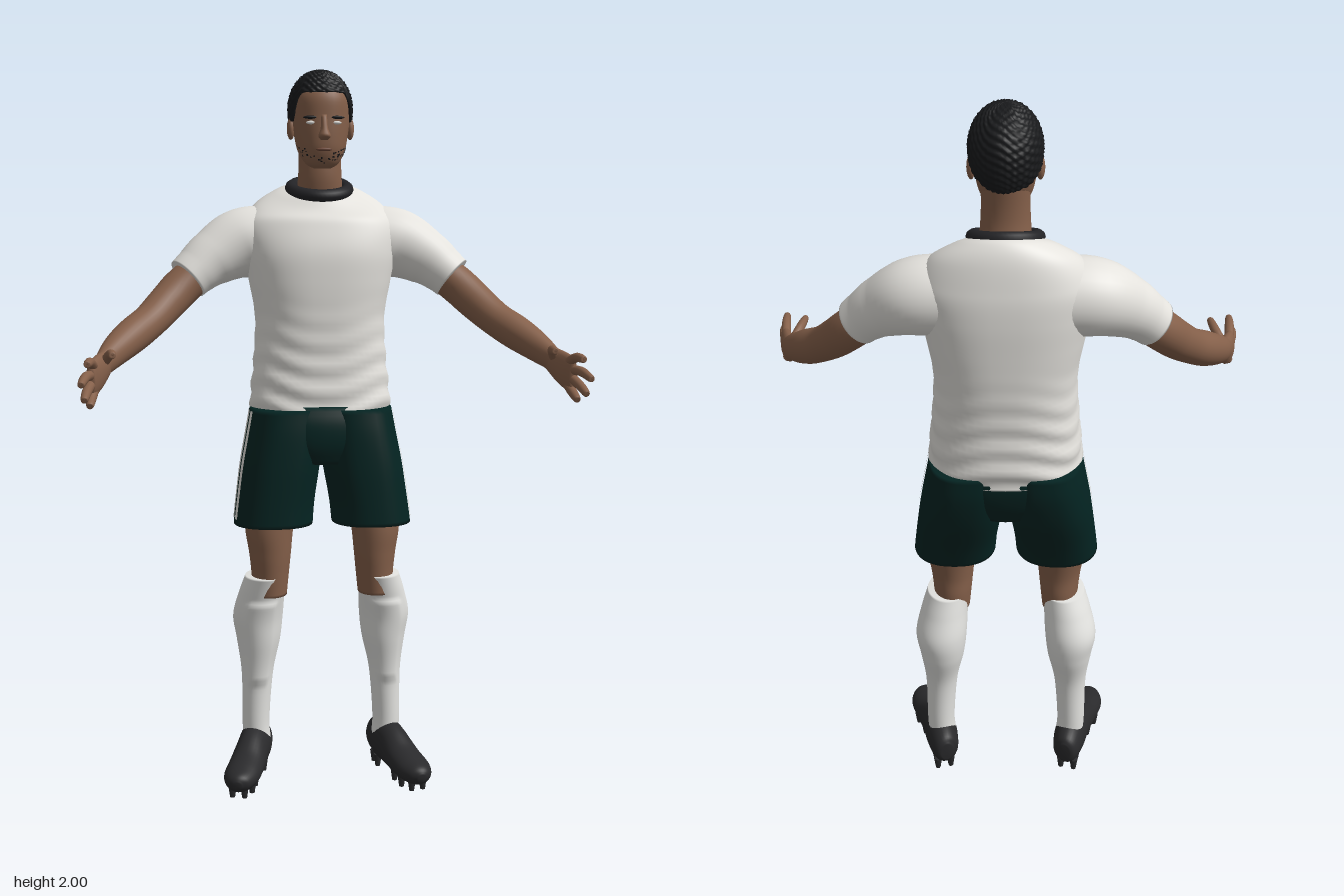
import * as THREE from 'three';
import { mergeGeometries } from 'three/addons/utils/BufferGeometryUtils.js';

const TAU = Math.PI * 2;
const { smoothstep, mapLinear, lerp } = THREE.MathUtils;
const paint = (name, color) => Object.assign(new THREE.MeshStandardMaterial({ color }), { name });

// Lofted surface (u around, v along). Sections are [x, y, z, halfWidth, halfDepth, squareness].
function surface(sections, { upright = false, shape } = {}) {
  const spine = new THREE.CatmullRomCurve3(sections.map(s => new THREE.Vector3(s[0], s[1], s[2])), false, 'catmullrom', 0.5);
  const sizes = new THREE.CatmullRomCurve3(sections.map(s => new THREE.Vector3(s[3], s[4], s[5] ?? 2)), false, 'catmullrom', 0.5);
  return (u, v, lift = 0) => {
    const p = spine.getPoint(v), r = sizes.getPoint(v);
    const side = new THREE.Vector3(1, 0, 0), normal = new THREE.Vector3(0, 0, -1);
    if (!upright) {
      const t = spine.getTangent(v);
      side.set(0, 1, 0).cross(t).normalize();
      normal.copy(t).cross(side);
    }
    const c = Math.cos(u * TAU), s = Math.sin(u * TAU), e = 2 / r.z;
    p.addScaledVector(side, Math.sign(c) * Math.abs(c) ** e * (Math.max(r.x, 0.001) + lift));
    p.addScaledVector(normal, Math.sign(s) * Math.abs(s) ** e * (Math.max(r.y, 0.001) + lift));
    if (shape) shape(p, u, v);
    return p;
  };
}

// Closed tube of quads over a surface, with optional end caps
function skin(fn, nu = 32, nv = 32, caps = true) {
  const pos = [], idx = [];
  for (let j = 0; j <= nv; j++) for (let i = 0; i < nu; i++) pos.push(...fn(i / nu, j / nv));
  for (let j = 0; j < nv; j++) for (let i = 0; i < nu; i++) {
    const a = j * nu + i, b = j * nu + (i + 1) % nu;
    idx.push(a, b, a + nu, b, b + nu, a + nu);
  }
  if (caps) for (const j of [0, nv]) {
    const mid = new THREE.Vector3(), center = pos.length / 3;
    for (let i = 0; i < nu; i++) mid.addScaledVector(fn(i / nu, j / nv), 1 / nu);
    pos.push(...mid);
    for (let i = 0; i < nu; i++) {
      const a = j * nu + i, b = j * nu + (i + 1) % nu;
      idx.push(center, j ? a : b, j ? b : a);
    }
  }
  return build(pos, idx);
}

// Thin piece lying just above part of a surface
function patch(fn, u0, u1, v0, v1, lift, nu = 1, nv = 1) {
  const pos = [], idx = [];
  for (let j = 0; j <= nv; j++) for (let i = 0; i <= nu; i++)
    pos.push(...fn(lerp(u0, u1, i / nu), lerp(v0, v1, j / nv), lift));
  for (let j = 0; j < nv; j++) for (let i = 0; i < nu; i++) {
    const a = j * (nu + 1) + i, b = a + nu + 1;
    idx.push(a, a + 1, b, a + 1, b + 1, b);
  }
  return build(pos, idx);
}

function build(pos, idx) {
  const g = new THREE.BufferGeometry();
  g.setAttribute('position', new THREE.Float32BufferAttribute(pos, 3));
  g.setIndex(idx);
  g.computeVertexNormals();
  return g;
}

function mirrored(geo) {
  const g = geo.clone().scale(-1, 1, 1), a = g.index.array;
  for (let i = 0; i < a.length; i += 3) [a[i], a[i + 1]] = [a[i + 1], a[i]];
  return g;
}

const blob = (x, y, z, rx, ry, rz) => new THREE.SphereGeometry(1, 20, 12).scale(rx, ry, rz).translate(x, y, z);

export function createModel() {
  const model = new THREE.Group();
  model.name = 'footballPlayer';
  const skinTone = paint('skin', 0x85604a), lipTone = paint('lips', 0x6c4738), hairTone = paint('hair', 0x18191b);
  const shirtWhite = paint('shirtWhite', 0xe4e2dd), sockWhite = paint('sockWhite', 0xe3e3e0);
  const shortsGreen = paint('shortsGreen', 0x042422), bootBlack = paint('bootBlack', 0x2a2a2c);
  const trimBlack = paint('trimBlack', 0x232326), eyeWhite = paint('eyeWhite', 0xd8d6d2);
  const add = (name, geo, mat) => {
    const m = new THREE.Mesh(geo, mat);
    m.name = name;
    model.add(m);
  };
  const pair = (name, geo, mat) => {
    add('left' + name, geo, mat);
    add('right' + name, mirrored(geo), mat);
  };

  // Shirt body, with soft folds near the waist and a neckline lower at the front
  add('shirtBody', skin(surface([
    [0, 1.04, -0.17, 0.188, 0.145, 2.4], [0, 1.08, -0.172, 0.198, 0.15, 2.4], [0, 1.2, -0.175, 0.187, 0.146, 2.4],
    [0, 1.32, -0.178, 0.182, 0.149, 2.4], [0, 1.42, -0.179, 0.198, 0.151, 2.5], [0, 1.5, -0.182, 0.213, 0.149, 2.5],
    [0, 1.57, -0.19, 0.218, 0.136, 2.4], [0, 1.625, -0.195, 0.185, 0.116, 2.2], [0, 1.662, -0.193, 0.125, 0.093], [0, 1.68, -0.19, 0.075, 0.072],
  ], {
    upright: true,
    shape: (p, u) => {
      const fold = 0.004 * (1 - smoothstep(p.y, 1.12, 1.4)) * Math.sin(p.y * 95 + 2 * Math.sin(u * TAU * 3));
      p.x *= 1 + fold * 4;
      p.z += fold * Math.sign(p.z + 0.175) * Math.min(1, Math.abs(p.z + 0.175) * 10);
      p.y -= (p.z + 0.19) * 0.35 * smoothstep(p.y, 1.58, 1.67);
    },
  }), 56, 72), shirtWhite);

  // Sleeves
  pair('Sleeve', skin(surface([
    [0.12, 1.53, -0.2, 0.1, 0.1], [0.22, 1.523, -0.193, 0.097, 0.097], [0.3, 1.484, -0.165, 0.077, 0.078],
    [0.345, 1.45, -0.146, 0.067, 0.066], [0.37, 1.428, -0.136, 0.064, 0.062],
  ]), 32, 28), shirtWhite);

  // Collar ring, tilted forward
  const ring = [];
  for (let i = 0; i < 16; i++) {
    const a = i / 16 * TAU;
    ring.push(new THREE.Vector3(0.078 * Math.cos(a), 1.675 - 0.022 * Math.sin(a), -0.183 + 0.072 * Math.sin(a)));
  }
  add('collar', new THREE.TubeGeometry(new THREE.CatmullRomCurve3(ring, true), 48, 0.018, 10, true), trimBlack);

  // Shorts: waist core and two legs with side stripes
  add('shortsWaist', skin(surface([
    [0, 0.92, -0.15, 0.09, 0.125, 2.6], [0, 0.97, -0.155, 0.14, 0.146, 2.6], [0, 1.03, -0.162, 0.17, 0.153, 2.6], [0, 1.08, -0.168, 0.17, 0.145, 2.6],
  ], { upright: true }), 40, 12), shortsGreen);
  const shortsLeg = surface([
    [0.139, 0.745, -0.114, 0.111, 0.114, 2.3], [0.132, 0.81, -0.126, 0.11, 0.126, 2.4], [0.117, 0.91, -0.146, 0.111, 0.146, 2.6],
    [0.104, 1.0, -0.159, 0.107, 0.156, 2.6], [0.095, 1.07, -0.164, 0.103, 0.154, 2.6],
  ], { upright: true });
  pair('ShortsLeg', skin(shortsLeg, 40, 24), shortsGreen);
  for (const [u0, u1] of [[-0.062, -0.036], [-0.022, 0]])
    pair('ShortsStripe', patch(shortsLeg, u0, u1, 0.07, 0.97, 0.003, 3, 24), shirtWhite);

  // Knees and lower thighs
  pair('Knee', skin(surface([
    [0.152, 0.54, -0.105, 0.05, 0.062], [0.149, 0.6, -0.106, 0.053, 0.068], [0.149, 0.66, -0.104, 0.059, 0.071],
    [0.15, 0.74, -0.11, 0.069, 0.08], [0.135, 0.85, -0.13, 0.078, 0.088],
  ], { upright: true })), skinTone);

  // Socks with a raised shin guard
  pair('Sock', skin(surface([
    [0.186, 0.09, -0.14, 0.04, 0.045], [0.19, 0.16, -0.14, 0.039, 0.045], [0.185, 0.3, -0.14, 0.045, 0.05],
    [0.181, 0.4, -0.145, 0.062, 0.07], [0.182, 0.47, -0.143, 0.071, 0.078], [0.172, 0.54, -0.124, 0.065, 0.076], [0.161, 0.595, -0.107, 0.058, 0.073],
  ], {
    upright: true,
    shape: (p, u) => {
      const across = 1 - smoothstep(Math.abs(u - 0.75), 0.1, 0.13);
      p.z += 0.008 * across * smoothstep(p.y, 0.27, 0.285) * (1 - smoothstep(p.y, 0.51, 0.53));
    },
  }), 40, 60), sockWhite);

  // Boots with flat soles and studs
  pair('Boot', skin(surface([
    [0.17, 0.082, -0.222, 0.018, 0.03], [0.176, 0.083, -0.205, 0.037, 0.05], [0.189, 0.086, -0.15, 0.046, 0.064],
    [0.204, 0.082, -0.09, 0.046, 0.06], [0.224, 0.066, -0.02, 0.05, 0.043], [0.243, 0.056, 0.04, 0.049, 0.035],
    [0.254, 0.052, 0.08, 0.034, 0.027], [0.258, 0.049, 0.096, 0.012, 0.012],
  ], { shape: p => { p.y = Math.max(p.y, 0.026); } }), 32, 40), bootBlack);
  const studs = [];
  for (const [x, z] of [[0.163, -0.185], [0.2, -0.195], [0.168, -0.145], [0.208, -0.155], [0.2, -0.03], [0.245, -0.045], [0.212, 0.02], [0.268, 0.005], [0.235, 0.055], [0.268, 0.045]])
    studs.push(new THREE.CylinderGeometry(0.012, 0.007, 0.035, 8).translate(x, 0.0175, z));
  pair('BootStuds', mergeGeometries(studs), bootBlack);

  // Bare arms
  pair('Arm', skin(surface([
    [0.3, 1.475, -0.16, 0.05, 0.05], [0.38, 1.412, -0.13, 0.054, 0.053], [0.43, 1.362, -0.09, 0.051, 0.051],
    [0.475, 1.318, -0.04, 0.048, 0.047], [0.52, 1.284, 0.012, 0.047, 0.047], [0.56, 1.252, 0.07, 0.039, 0.041],
    [0.588, 1.225, 0.125, 0.026, 0.033], [0.597, 1.215, 0.15, 0.02, 0.03],
  ]), 28, 42), skinTone);

  // Hands with spread fingers
  const hand = [skin(surface([
    [0.586, 1.227, 0.115, 0.022, 0.03], [0.604, 1.205, 0.17, 0.021, 0.043], [0.616, 1.191, 0.212, 0.017, 0.046], [0.621, 1.188, 0.234, 0.009, 0.036],
  ]), 20, 14)];
  const fingers = [
    [[0.615, 1.22, 0.205], [0.621, 1.236, 0.26], [0.625, 1.235, 0.305]],
    [[0.62, 1.2, 0.215], [0.632, 1.2, 0.27], [0.64, 1.188, 0.325]],
    [[0.62, 1.18, 0.215], [0.63, 1.163, 0.265], [0.634, 1.148, 0.307]],
    [[0.615, 1.16, 0.2], [0.621, 1.14, 0.235], [0.623, 1.128, 0.265]],
    [[0.594, 1.222, 0.145], [0.573, 1.25, 0.195], [0.566, 1.252, 0.25]],
  ];
  for (const f of fingers) {
    const tip = f[2].map((c, k) => c + (c - f[1][k]) * 0.12);
    hand.push(skin(surface([[...f[0], 0.013, 0.013], [...f[1], 0.0125, 0.0125], [...f[2], 0.0095, 0.0095], [...tip, 0.004, 0.004]]), 12, 14));
  }
  pair('Hand', mergeGeometries(hand), skinTone);

  // Neck and head
  add('neck', skin(surface([
    [0, 1.6, -0.19, 0.07, 0.06], [0, 1.69, -0.168, 0.062, 0.056], [0, 1.75, -0.165, 0.059, 0.054], [0, 1.82, -0.165, 0.06, 0.06],
  ], { upright: true }), 28, 12), skinTone);
  const head = surface([
    [0, 1.727, -0.11, 0.022, 0.022], [0, 1.74, -0.113, 0.044, 0.042, 2.2], [0, 1.772, -0.13, 0.063, 0.072, 2.2],
    [0, 1.81, -0.14, 0.072, 0.085, 2.2], [0, 1.86, -0.15, 0.079, 0.094, 2.2], [0, 1.915, -0.153, 0.079, 0.094, 2.2],
    [0, 1.95, -0.16, 0.066, 0.08], [0, 1.972, -0.16, 0.035, 0.04],
  ], { upright: true });
  add('head', skin(head, 40, 40), skinTone);
  add('nose', skin(surface([
    [0, 1.801, -0.052, 0.01, 0.01], [0, 1.811, -0.046, 0.017, 0.02], [0, 1.832, -0.051, 0.01, 0.016], [0, 1.868, -0.06, 0.008, 0.008],
  ], { upright: true }), 16, 14), skinTone);
  add('mouth', blob(0, 1.776, -0.06, 0.022, 0.005, 0.007), lipTone);
  pair('Ear', blob(0.082, 1.836, -0.15, 0.011, 0.03, 0.018).rotateZ(0), skinTone);
  pair('Eye', blob(0.034, 1.847, -0.064, 0.014, 0.005, 0.006), eyeWhite);
  pair('Eyebrow', blob(0.035, 1.861, -0.064, 0.021, 0.0045, 0.008), hairTone);

  // Stubble flecks along the jaw and chin
  let seed = 7;
  const rand = () => (seed = seed * 16807 % 2147483647) / 2147483647;
  const flecks = [];
  for (let i = 0; i < 54; i++) {
    const u = 0.75 + (rand() - 0.5) * 0.44, v = 0.13 + rand() * 0.1 + Math.abs(u - 0.75) * 0.55;
    flecks.push(patch(head, u, u + 0.008 + rand() * 0.008, v, v + 0.01 + rand() * 0.012, 0.002));
  }
  add('stubble', mergeGeometries(flecks), hairTone);

  // Short curly hair from the hairline up to the crown
  const hair = (u, v) => {
    const c = Math.cos(u * TAU), s = Math.sin(u * TAU), front = -s;
    const base = Math.max(1.95, mapLinear(front, -1, 0, 2.6, 1.95));
    const th = lerp(base, 1.22, smoothstep(front, 0.35, 0.75)) * (1 - v);
    const flare = th > Math.PI / 2 ? Math.sin(th) ** 0.6 : Math.sin(th);
    const curl = 1 + 0.03 * Math.sin(th * 34 + 2 * Math.sin(u * TAU * 5)) * Math.sin(u * TAU * 18) * Math.min(1, th * 2);
    const k = curl * (v < 0.01 ? 0.84 : 1);
    return new THREE.Vector3(0.089 * c * flare * k, 1.89 + 0.105 * Math.cos(th) * curl, -0.16 - 0.111 * s * flare * k);
  };
  add('hair', skin(hair, 96, 56, false), hairTone);

  return model;
}
